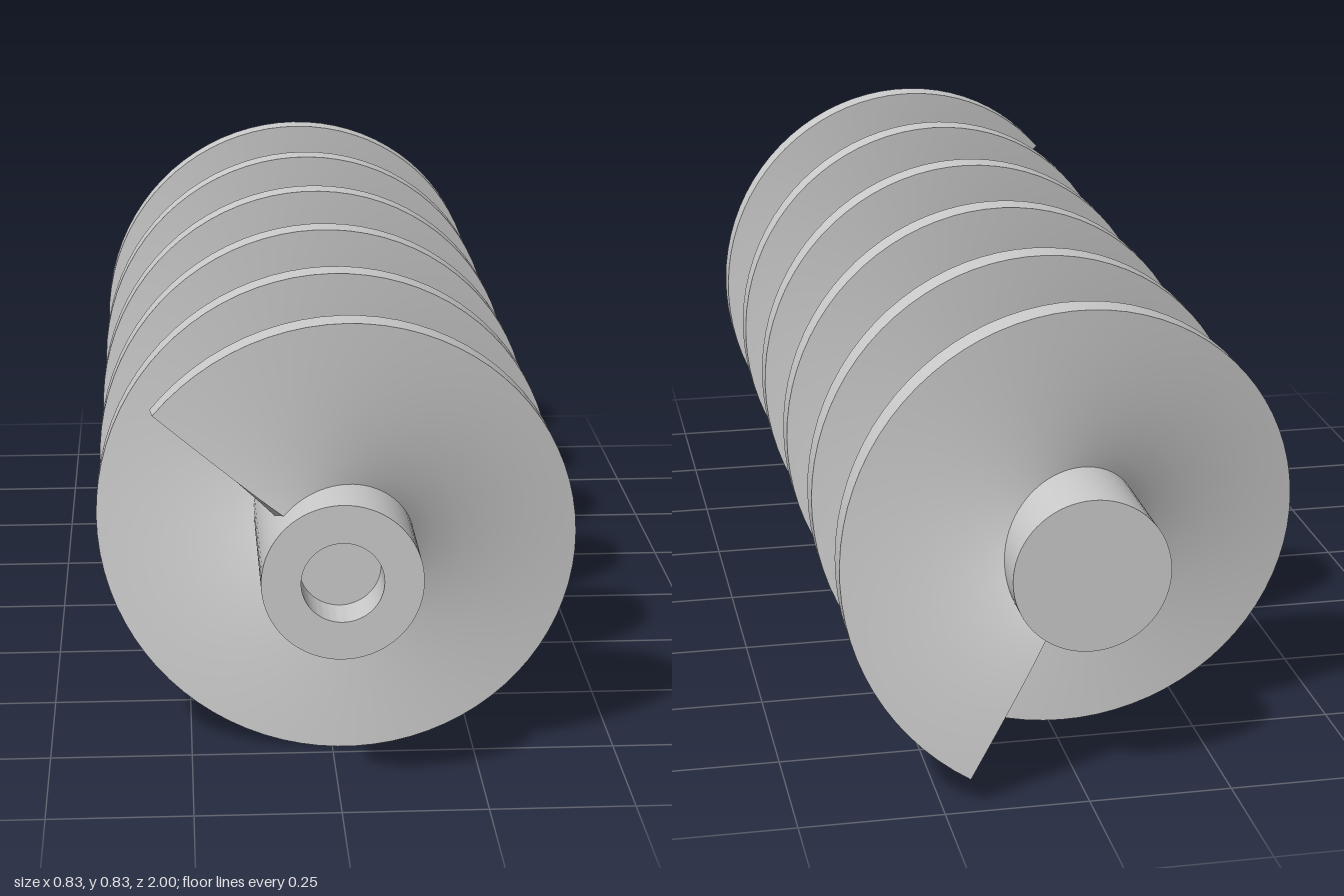
import * as THREE from 'three';
import { mergeGeometries, toCreasedNormals } from 'three/addons/utils/BufferGeometryUtils.js';
import { ParametricGeometry } from 'three/addons/geometries/ParametricGeometry.js';

const R = 0.413, SHAFT_R = 0.135, BORE_R = 0.069, BORE_DEPTH = 0.08;
const ROOT_R = 0.12;                        // blade root, sunk into the shaft
const HALF = 0.0265;                        // half the blade thickness
const RISE = 0.337 / (2 * Math.PI);         // axial travel per radian
const START = THREE.MathUtils.degToRad(139), TURN = THREE.MathUtils.degToRad(2000);
const START_Z = 0.9125;

// Point on the blade: radius r, t = 0..1 from rear end to front end, offset along the helicoid normal
function bladePoint(r, t, offset, target) {
  const a = START - TURN * (1 - t), c = Math.cos(a), s = Math.sin(a);
  const k = offset / Math.hypot(r, RISE);
  target.set(r * c + k * RISE * s, r * s - k * RISE * c, START_Z + RISE * (a - START) + k * r);
}

function createBlade() {
  const { lerp } = THREE.MathUtils;
  const steps = 440;
  const face = (fn, nu, nv) => new ParametricGeometry(fn, nu, nv);
  return mergeGeometries([
    // front and rear faces
    face((u, v, p) => bladePoint(lerp(ROOT_R, R, u), v, HALF, p), 6, steps),
    face((u, v, p) => bladePoint(lerp(R, ROOT_R, u), v, -HALF, p), 6, steps),
    // outer rim
    face((u, v, p) => bladePoint(R, v, lerp(HALF, -HALF, u), p), 1, steps),
    // end faces
    face((u, v, p) => bladePoint(lerp(ROOT_R, R, v), 1, lerp(-HALF, HALF, u), p), 1, 6),
    face((u, v, p) => bladePoint(lerp(ROOT_R, R, v), 0, lerp(HALF, -HALF, u), p), 1, 6),
  ]);
}

// Solid shaft with a blind bore in the front end
function createShaft() {
  const profile = [
    [0, -1], [SHAFT_R, -1], [SHAFT_R, 1], [BORE_R, 1], [BORE_R, 1 - BORE_DEPTH], [0, 1 - BORE_DEPTH],
  ].map(([x, y]) => new THREE.Vector2(x, y));
  return toCreasedNormals(new THREE.LatheGeometry(profile, 72), 0.5).rotateX(Math.PI / 2);
}

export function createModel() {
  const material = new THREE.MeshStandardMaterial({ color: 0xcccccc });
  const group = new THREE.Group();
  group.name = 'screwConveyor';
  for (const [name, geometry] of [['shaft', createShaft()], ['spiralBlade', createBlade()]]) {
    const mesh = new THREE.Mesh(geometry, material);
    mesh.name = name;
    mesh.position.y = R;
    group.add(mesh);
  }
  return group;
}
